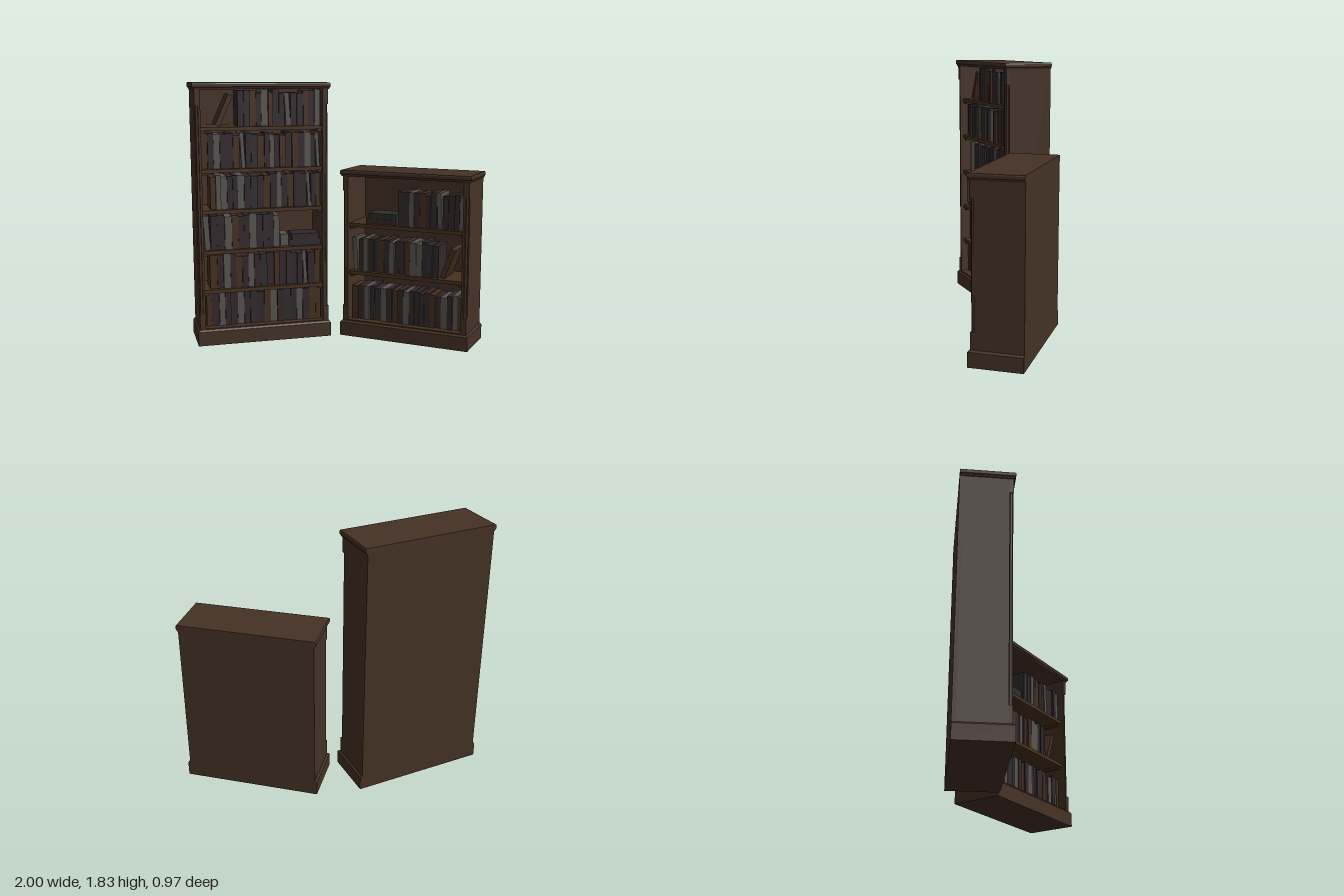
import * as THREE from 'three';

const material = (name, color, extra = {}) => {
  const m = new THREE.MeshStandardMaterial({ color });
  m.name = name;
  return Object.assign(m, extra);
};

export function createModel() {
  const wood = material('walnut wood', 0x453226);
  const shelfWood = material('shelf wood', 0x48321f);
  const covers = {
    p: material('plum cover', 0x32272a),
    g: material('grey cover', 0x575550),
    b: material('brown cover', 0x453020),
    d: material('slate cover', 0x302c2f),
  };

  // Small seeded generator for book sizes
  let seed = 7;
  const rand = () => (seed = (seed * 16807) % 2147483647) / 2147483647;

  // Box given by its min and max corners
  function box(parent, name, mat, x0, x1, y0, y1, z0, z1) {
    const m = new THREE.Mesh(new THREE.BoxGeometry(x1 - x0, y1 - y0, z1 - z0), mat);
    m.position.set((x0 + x1) / 2, (y0 + y1) / 2, (z0 + z1) / 2);
    m.name = name;
    parent.add(m);
    return m;
  }

  // Moulding slab, flush at the back, inset by a at the bottom and b at the top
  const W = 0.48, D = 0.18;
  function moulding(parent, name, y0, y1, a, b) {
    let g = new THREE.BoxGeometry(1, 1, 1);
    const p = g.attributes.position;
    for (let i = 0; i < p.count; i++) {
      const top = p.getY(i) > 0, inset = top ? b : a;
      p.setXYZ(i, Math.sign(p.getX(i)) * (W - inset), top ? y1 : y0,
        p.getZ(i) > 0 ? D - inset : -D);
    }
    g.computeVertexNormals();
    const m = new THREE.Mesh(g, wood);
    m.name = name;
    parent.add(m);
  }

  // Upright book standing on y with its lower left corner at x
  function book(parent, key, x, y, w, h, front, tilt = 0) {
    const depth = 0.17 + rand() * 0.03;
    const pivot = new THREE.Group();
    pivot.name = 'book';
    // tilt > 0 leans the top to the right, pivoting on the lower right corner
    pivot.position.set(tilt > 0 ? x + w : x, y, 0);
    pivot.rotation.z = -tilt;
    const x0 = tilt > 0 ? -w : 0;
    box(pivot, 'bookCover', covers[key], x0, x0 + w, 0, h, front - depth, front);
    parent.add(pivot);
  }

  // Row of books; a capital letter marks a slightly leaning one
  function bookRow(parent, keys, x0, x1, y) {
    const widths = [...keys].map(() => 0.8 + rand() * 0.4);
    const unit = (x1 - x0) / widths.reduce((s, w) => s + w, 0);
    let x = x0;
    [...keys].forEach((k, i) => {
      const w = widths[i] * unit, lean = k !== k.toLowerCase();
      book(parent, k.toLowerCase(), x, y, (lean ? w - 0.012 : w - 0.001),
        0.225 + rand() * 0.027, 0.1 + rand() * 0.02, lean ? -0.05 : 0);
      x += w;
    });
    // A left-leaning book pivots on its lower left corner, so nudge it clear
    parent.children.forEach(c => {
      if (c.name === 'book' && c.rotation.z === 0.05) {
        c.position.x += 0.011;
        c.name = 'leaningBook';
      }
    });
  }

  // Flat pile of books
  function stack(parent, list, y) {
    list.forEach(([k, x0, x1, h]) => {
      box(parent, 'stackedBook', covers[k], x0, x1, y, y + h - 0.001, -0.05, 0.1 + rand() * 0.015);
      y += h;
    });
  }

  function bookcase(name, h, shelves) {
    const g = new THREE.Group();
    g.name = name;
    const inner = 0.425, outer = 0.465, front = 0.165, notch = 0.024;

    // Plinth with bevelled top edge, and crown with stepped, rounded edge
    moulding(g, 'plinth', 0, 0.1, 0, 0);
    moulding(g, 'plinthBevel', 0.1, 0.112, 0, 0.013);
    moulding(g, 'crownStep', h - 0.044, h - 0.034, 0.009, 0.006);
    moulding(g, 'crownLowerEdge', h - 0.034, h - 0.027, 0.005, 0);
    moulding(g, 'crown', h - 0.027, h - 0.008, 0, 0);
    moulding(g, 'crownUpperEdge', h - 0.008, h, 0, 0.004);

    // Back panel and floor
    box(g, 'backPanel', wood, -outer, outer, 0.1, h - 0.04, -D, -0.155);
    box(g, 'floor', shelfWood, -inner, inner, 0.1, 0.12, -0.155, front);

    // Sides with a stopped corner notch holding a slim turned column
    const lo = 0.225, hi = h - 0.15;
    for (const s of [-1, 1]) {
      const part = (n, a, b, y0, y1, z0, z1) =>
        box(g, n, wood, Math.min(s * a, s * b), Math.max(s * a, s * b), y0, y1, z0, z1);
      part('sidePanel', inner, outer, 0.1, h - 0.04, -D, front - notch);
      part('stile', inner, outer - notch, 0.1, h - 0.04, front - notch, front);
      part('lowerCornerBlock', outer - notch, outer, 0.1, lo, front - notch, front);
      part('upperCornerBlock', outer - notch, outer, hi, h - 0.04, front - notch, front);
      const col = new THREE.Mesh(new THREE.CylinderGeometry(0.009, 0.009, hi - lo, 12), wood);
      col.position.set(s * (outer - notch + 0.009), (lo + hi) / 2, front - notch + 0.009);
      col.name = 'cornerColumn';
      g.add(col);
    }

    // Shelves on small end brackets
    for (const y of shelves) {
      box(g, 'shelf', shelfWood, -inner, inner, y - 0.026, y, -0.155, 0.14);
      for (const s of [-1, 1])
        box(g, 'shelfBracket', shelfWood, s > 0 ? inner - 0.03 : -inner,
          s > 0 ? inner : -inner + 0.03, y - 0.042, y - 0.026, -0.155, 0.128);
    }
    return g;
  }

  // Tall bookcase
  const tall = bookcase('tallBookcase', 1.83, [0.39, 0.67, 0.955, 1.24, 1.53]);
  bookRow(tall, 'bpgppgpdpbgpdpgpbb', -0.41, 0.42, 0.12);
  bookRow(tall, 'bpgpbpgpdpbpdppGpb', -0.38, 0.415, 0.39);
  bookRow(tall, 'Gppgbppgpdpg', -0.42, 0.12, 0.67);
  stack(tall, [['d', 0.19, 0.42, 0.045], ['p', 0.21, 0.41, 0.042]], 0.67);
  box(tall, 'stackedBook', covers.g, 0.13, 0.188, 0.67, 0.755, -0.06, 0.09);
  bookRow(tall, 'bggppgpdpbpgpbppGpb', -0.365, 0.42, 0.955);
  bookRow(tall, 'bpgppbGpdbpgpbpbpgpG', -0.42, 0.42, 1.24);
  bookRow(tall, 'pdbpgbppGpdbpg', -0.165, 0.42, 1.53);
  book(tall, 'b', -0.3, 1.53, 0.034, 0.23, 0.11, 0.42);
  tall.children[tall.children.length - 1].position.x = -0.29;
  tall.position.set(-0.52, 0, -0.31);

  // Low bookcase, turned inwards
  const low = bookcase('lowBookcase', 1.215, [0.48, 0.83]);
  bookRow(low, 'bpgpdgpbpgppdpbpgpgb', -0.41, 0.42, 0.12);
  bookRow(low, 'Gpgpdbpgppbggpdp', -0.41, 0.24, 0.48);
  book(low, 'b', 0.25, 0.48, 0.034, 0.22, 0.11, 0.36);
  bookRow(low, 'dpgpbpdGpppg', -0.06, 0.42, 0.83);
  stack(low, [['p', -0.31, -0.08, 0.04], ['d', -0.29, -0.08, 0.038]], 0.83);
  low.position.set(0.512, 0, 0.037);
  low.rotation.y = -THREE.MathUtils.degToRad(40);

  const model = new THREE.Group();
  model.name = 'bookcases';
  model.add(tall, low);
  return model;
}
